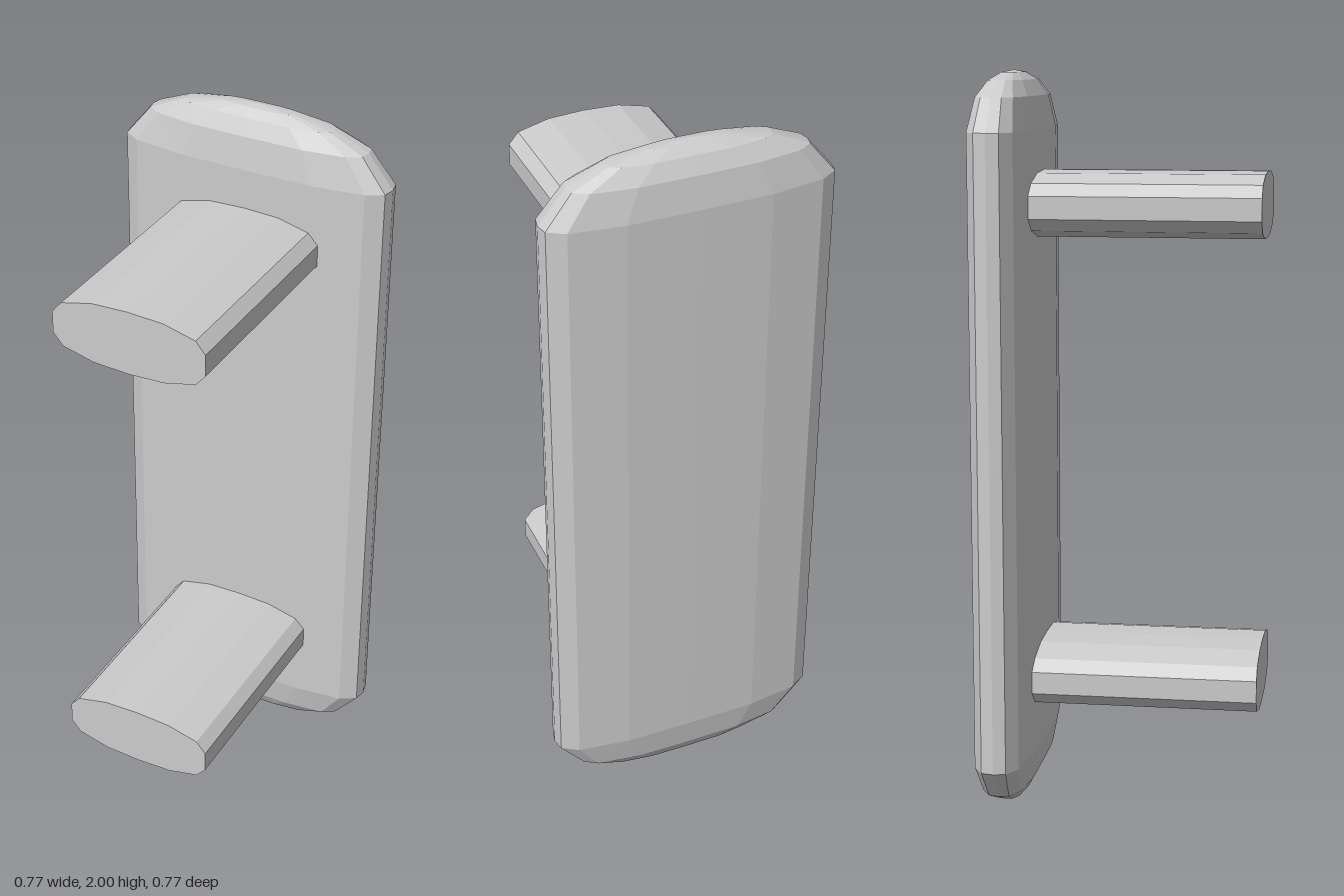
import * as THREE from 'three';

const material = new THREE.MeshStandardMaterial({ color: 0xcccccc, flatShading: true });

// Mirrors one quadrant (from the side point to the middle) into a closed counter-clockwise outline.
function mirrorOutline(quarter) {
  const half = [...quarter, ...quarter.slice(0, -1).reverse().map(([x, y]) => [-x, y])];
  const lower = half.slice().reverse().map(([x, y]) => [x, -y]);
  return [...half, ...lower].filter(([x, y], i, all) => {
    const [px, py] = all[(i + all.length - 1) % all.length];
    return Math.hypot(x - px, y - py) > 1e-6;
  });
}

// Flat grip: one rounded section, scaled ring by ring towards both domed ends.
function gripGeometry() {
  const section = mirrorOutline([[0.385, 0], [0.378, 0.033], [0.333, 0.06], [0.19, 0.079], [0, 0.081]]);
  // distance from the middle height, x scale, z scale
  const dome = [[0.845, 1, 1], [0.932, 0.815, 0.83], [0.974, 0.56, 0.55], [0.994, 0.28, 0.27], [1, 0, 0]];
  const rings = [...dome.slice().reverse().map(([h, a, b]) => [-h, a, b]), ...dome];
  const n = section.length;
  const positions = [];
  const index = [];
  rings.forEach(([h, a, b], r) => {
    section.forEach(([x, z], i) => {
      positions.push(x * a, 1 + h, z * b);
      if (r === rings.length - 1) return;
      const p = r * n + i;
      const q = r * n + ((i + 1) % n);
      if (r < rings.length - 2) index.push(p, p + n, q + n);
      else index.push(p, p + n, q);
      if (r > 0 && r < rings.length - 2) index.push(p, q + n, q);
    });
  });
  const geometry = new THREE.BufferGeometry();
  geometry.setAttribute('position', new THREE.Float32BufferAttribute(positions, 3));
  geometry.setIndex(index);
  geometry.computeVertexNormals();
  return geometry;
}

// Oval post running forward from inside the grip.
function postGeometry(depth) {
  const outline = mirrorOutline([[0.215, 0.03], [0.188, 0.062], [0.1, 0.084], [0, 0.0885]]);
  const shape = new THREE.Shape(outline.map(([x, y]) => new THREE.Vector2(x, y)));
  return new THREE.ExtrudeGeometry(shape, { depth, bevelEnabled: false });
}

export function createModel() {
  const model = new THREE.Group();
  model.name = 'pullHandle';
  const gripZ = -0.303;

  const grip = new THREE.Mesh(gripGeometry(), material);
  grip.name = 'grip';
  grip.position.z = gripZ;
  model.add(grip);

  // Two mounting posts
  const post = postGeometry(0.383 - gripZ);
  for (const [name, y] of [['upperPost', 1.647], ['lowerPost', 0.36]]) {
    const mesh = new THREE.Mesh(post, material);
    mesh.name = name;
    mesh.position.set(0, y, gripZ);
    model.add(mesh);
  }
  return model;
}
